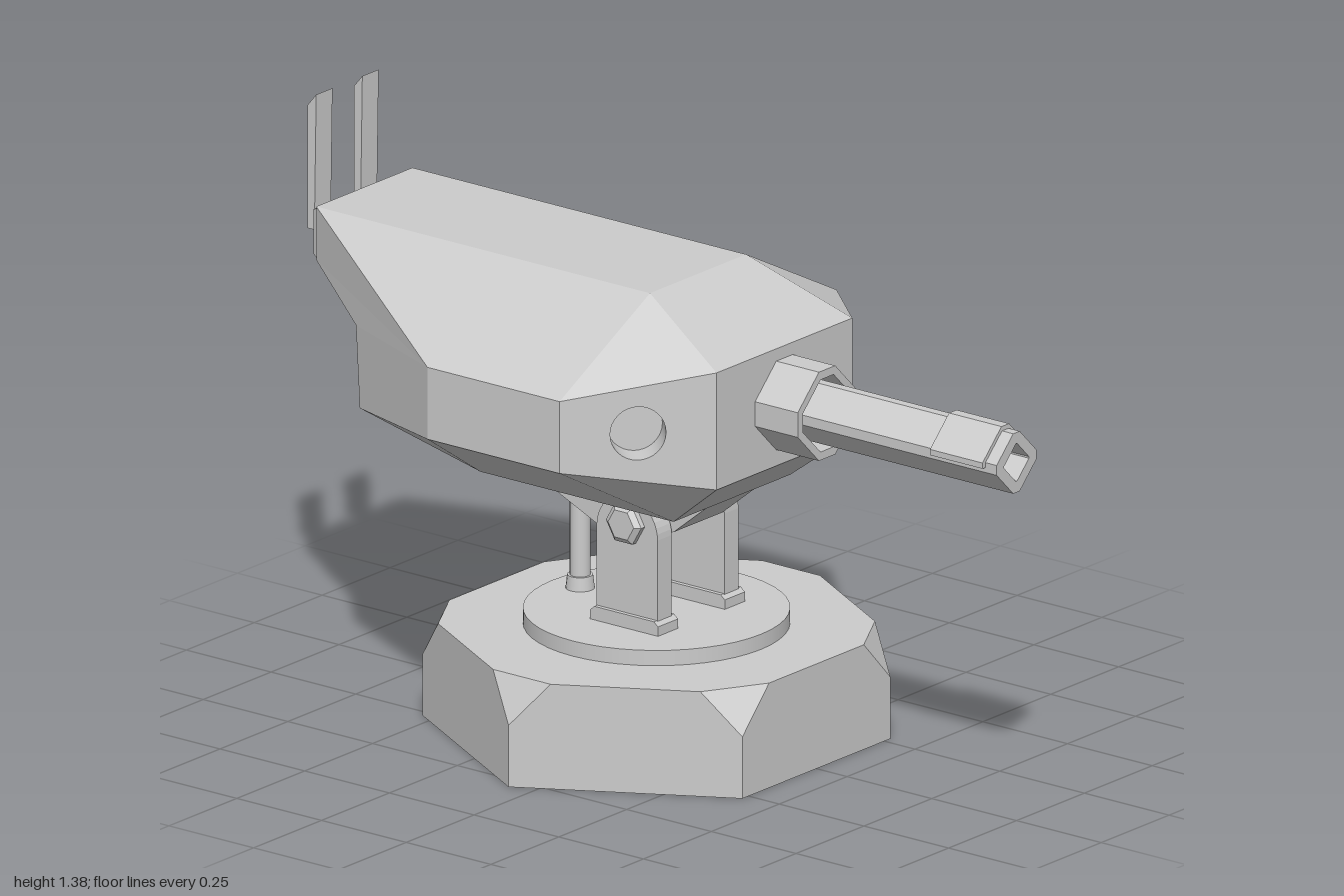
import * as THREE from 'three';

const mat = new THREE.MeshStandardMaterial({ color: 0xcccccc, flatShading: true, side: THREE.DoubleSide });
const smooth = new THREE.MeshStandardMaterial({ color: 0xcccccc, side: THREE.DoubleSide });

function add(parent, name, geo, x = 0, y = 0, z = 0, m = mat) {
  const mesh = new THREE.Mesh(geo, m);
  mesh.name = name;
  mesh.position.set(x, y, z);
  parent.add(mesh);
  return mesh;
}

// Flat polygons fanned into triangles, each turned to face away from centre
function polys(list, centre) {
  const pos = [];
  const c = new THREE.Vector3(...centre);
  for (const poly of list) {
    const p = poly.map(a => new THREE.Vector3(...a));
    const mid = p.reduce((s, v) => s.add(v), new THREE.Vector3()).divideScalar(p.length);
    const n = new THREE.Vector3();
    for (let i = 1; i < p.length - 1; i++)
      n.add(p[i].clone().sub(p[0]).cross(p[i + 1].clone().sub(p[0])));
    if (n.dot(mid.sub(c)) < 0) p.reverse().unshift(p.pop());
    for (let i = 1; i < p.length - 1; i++)
      for (const v of [p[0], p[i], p[i + 1]]) pos.push(v.x, v.y, v.z);
  }
  const g = new THREE.BufferGeometry();
  g.setAttribute('position', new THREE.Float32BufferAttribute(pos, 3));
  g.computeVertexNormals();
  return g;
}

const shapeOf = pts => new THREE.Shape(pts.map(p => new THREE.Vector2(...p)));
const extrude = (shape, depth, opts = {}) =>
  new THREE.ExtrudeGeometry(shape, { depth, bevelEnabled: false, curveSegments: 10, ...opts });

// Diamond with its four tips cut off
function diamond(r, cut) {
  const pts = [];
  for (let i = 0; i < 4; i++) {
    const a = i * Math.PI / 2, c = Math.cos(a), s = Math.sin(a);
    for (const t of [-cut, cut]) pts.push([r * c - t * s, r * s + t * c]);
  }
  return pts;
}

// Tube of diamond section along x
function diamondTube(r, cut, hole, holeCut, length) {
  const shape = shapeOf(diamond(r, cut));
  shape.holes.push(shapeOf(diamond(hole, holeCut)));
  return extrude(shape, length).rotateY(Math.PI / 2);
}

// Hexagonal foundation, open below, with clipped top corners
function baseGeometry() {
  const R = 0.545, h = 0.255, t = 0.18;
  const at = i => [R * Math.sin(i * Math.PI / 3), R * Math.cos(i * Math.PI / 3)];
  const mix = (a, b, k, y) => [a[0] + (b[0] - a[0]) * k, y, a[1] + (b[1] - a[1]) * k];
  const faces = [], top = [];
  for (let i = 0; i < 6; i++) {
    const p = at(i), q = at(i + 1), o = at(i - 1);
    const a = mix(p, q, t, h), b = mix(p, q, 1 - t, h);
    faces.push([mix(p, q, 0, 0), mix(p, q, 1, 0), mix(p, q, 1, 0.15), b, a, mix(p, q, 0, 0.15)]);
    faces.push([mix(p, q, 0, 0.15), a, mix(p, o, t, h)]);
    top.push(a, b);
  }
  faces.push(top);
  return polys(faces, [0, 0.1, 0]);
}

// Armoured hull; the front cheeks are separate because they hold the ports
function hullGeometry() {
  const A = [-0.925, 1.13, 0.177], B = [0.06, 1.13, 0.177], C = [-0.33, 0.955, 0.51], D = [0.06, 0.955, 0.51];
  const E = [-0.33, 0.78, 0.51], F = [0.06, 0.78, 0.51], G = [0.315, 1.01, 0.25], H = [0.315, 0.725, 0.25];
  const I = [-0.41, 0.605, 0.215], J = [0.16, 0.605, 0.215];
  const K = [-0.69, 0.725, 0.31], L = [-0.71, 0.92, 0.299], M = [-0.925, 1.0, 0.177];
  const flip = ([x, y, z]) => [x, y, -z];
  const side = [[A, B, D, C], [C, D, F, E], [C, E, K, L, M, A], [B, G, D], [F, H, J], [E, F, J, I], [E, I, K]];
  const loop = [A, B, G, H, J, I, K, L, M];
  const faces = [...side, ...side.map(f => f.map(flip))];
  loop.forEach((p, i) => {
    const q = loop[(i + 1) % loop.length];
    faces.push([p, q, flip(q), flip(p)]);
  });
  return polys(faces, [-0.2, 0.87, 0]);
}

// Slanted cheek plate with a round recessed port
function addCheek(parent) {
  const cheek = new THREE.Group();
  cheek.name = 'frontCheek';
  cheek.position.set(0.06, 0, 0.51);
  cheek.rotation.y = Math.atan2(0.26, 0.255);
  const w = Math.hypot(0.255, 0.26), r = 0.065;
  const plate = shapeOf([[0, 0.78], [w, 0.725], [w, 1.01], [0, 0.955]]);
  plate.holes.push(new THREE.Path().absarc(w / 2, 0.87, r, 0, Math.PI * 2, true));
  add(cheek, 'cheekPlate', new THREE.ShapeGeometry(plate, 16));
  const wall = new THREE.CylinderGeometry(r, r, 0.07, 32, 1, true).rotateX(Math.PI / 2);
  add(cheek, 'portWall', wall, w / 2, 0.87, -0.035, smooth);
  add(cheek, 'portFloor', new THREE.CircleGeometry(r, 32), w / 2, 0.87, -0.07);
  parent.add(cheek);
}

// Parts found on both sides of the centre line
function sideParts(name, sign) {
  const g = new THREE.Group();
  g.name = name;
  g.scale.z = sign;
  addCheek(g);

  // Support arm with rounded top, foot and hex bolt
  const arm = new THREE.Shape();
  arm.moveTo(-0.09, 0.29);
  arm.lineTo(0.09, 0.29);
  arm.lineTo(0.09, 0.52);
  arm.absarc(0, 0.52, 0.09, 0, Math.PI, false);
  add(g, 'supportArm', extrude(arm, 0.052), -0.03, 0, 0.097);
  const foot = shapeOf([[-0.1, 0.29], [0.1, 0.29], [0.1, 0.315], [0.088, 0.325], [-0.088, 0.325], [-0.1, 0.315]]);
  add(g, 'armFoot', extrude(foot, 0.074), -0.03, 0, 0.086);
  const hex = (r1, r2, h) => new THREE.CylinderGeometry(r1, r2, h, 6).rotateY(Math.PI / 6).rotateX(Math.PI / 2);
  add(g, 'boltHead', hex(0.052, 0.052, 0.014), -0.03, 0.545, 0.155);
  add(g, 'boltCap', hex(0.038, 0.052, 0.01), -0.03, 0.545, 0.167);

  // Rear pad and upright fin
  const pad = shapeOf([[-0.062, -0.04], [0.062, -0.04], [0.062, 0.04], [-0.062, 0.04]]);
  const padGeo = extrude(pad, 0.005, { bevelEnabled: true, bevelSegments: 2, bevelSize: 0.02, bevelThickness: 0.02 });
  add(g, 'rearPad', padGeo.rotateY(-Math.PI / 2), -0.923, 1.063, 0.09);
  const fin = shapeOf([[-0.935, 1.045], [-1, 1.045], [-1, 1.345], [-0.975, 1.375], [-0.98, 1.06], [-0.935, 1.06]]);
  add(g, 'rearFin', extrude(fin, 0.06), 0, 0, 0.055);
  return g;
}

export function createModel() {
  const model = new THREE.Group();
  model.name = 'turret';

  // Foundation and turntable
  add(model, 'base', baseGeometry(), -0.0625);
  add(model, 'turntable', new THREE.CylinderGeometry(0.308, 0.308, 0.038, 48), -0.0625, 0.273, 0, smooth);

  // Rear strut
  add(model, 'rearStrut', new THREE.CylinderGeometry(0.024, 0.024, 0.3, 20), -0.288, 0.43, 0, smooth);
  add(model, 'strutFoot', new THREE.CylinderGeometry(0.03, 0.034, 0.035, 20), -0.288, 0.3075, 0, smooth);

  // Hull and the tilting block below it
  add(model, 'hull', hullGeometry());
  const block = shapeOf([[-0.41, 0.607], [-0.15, 0.49], [-0.06, 0.487], [0.06, 0.525], [0.16, 0.607]]);
  add(model, 'tiltBlock', extrude(block, 0.18), 0, 0, -0.09);
  add(model, 'tiltPin', new THREE.CylinderGeometry(0.035, 0.035, 0.2, 20).rotateX(Math.PI / 2), -0.03, 0.545, 0, smooth);
  model.add(sideParts('leftSide', 1), sideParts('rightSide', -1));

  // Gun: collar, hollow barrel and the V-shaped cover over the muzzle
  add(model, 'gunCollar', diamondTube(0.108, 0.03, 0.088, 0.024, 0.127), 0.314, 0.872);
  add(model, 'barrel', diamondTube(0.073, 0.012, 0.046, 0.002, 0.69), 0.31, 0.872);
  const cover = shapeOf([[-0.084, 0], [-0.06, 0], [0, 0.06], [0.06, 0], [0.084, 0],
    [0.084, 0.014], [0.014, 0.084], [-0.014, 0.084], [-0.084, 0.014]]);
  add(model, 'muzzleCover', extrude(cover, 0.155).rotateY(Math.PI / 2), 0.812, 0.872);
  return model;
}
